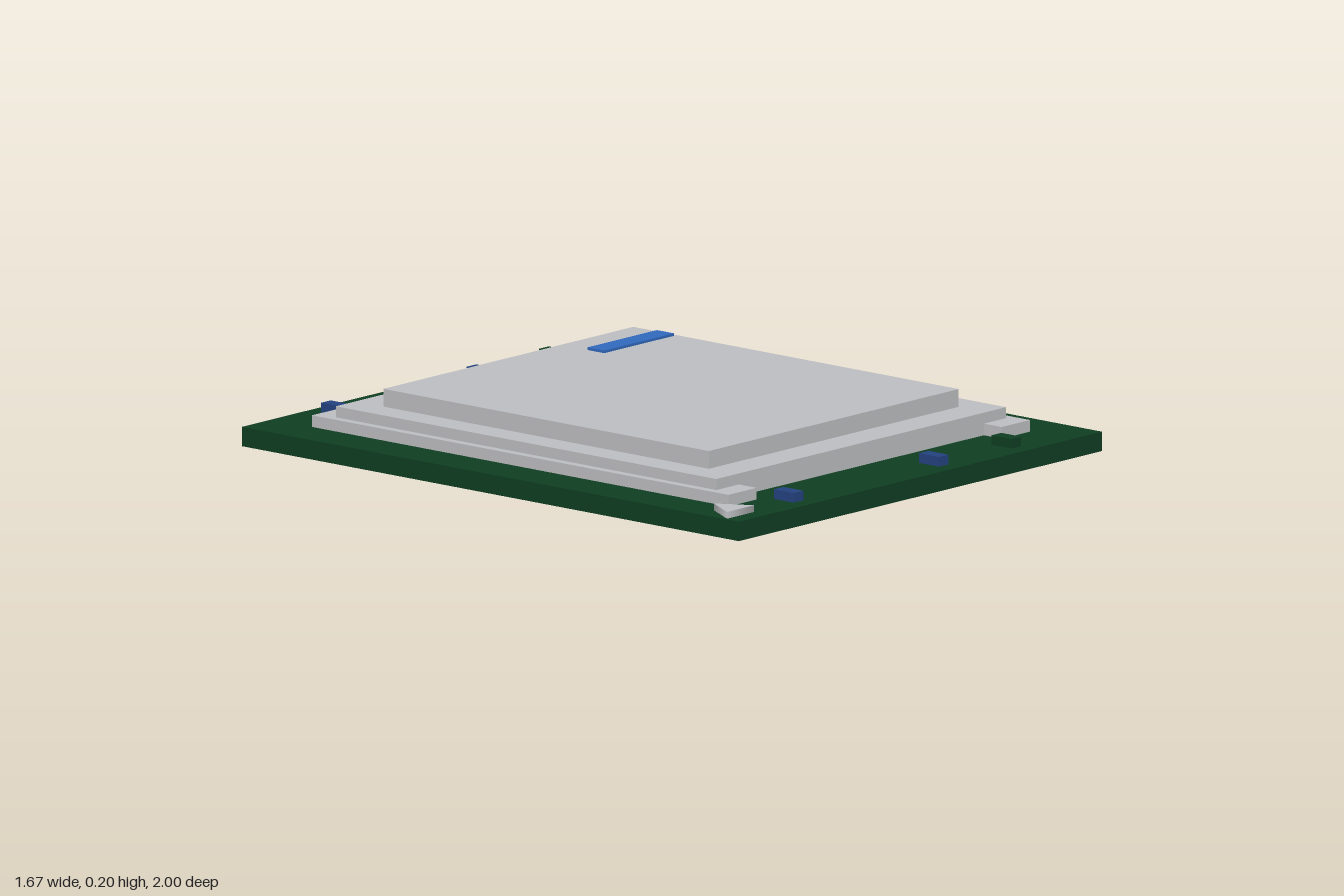
import * as THREE from 'three';

const material = (name, color) => {
  const m = new THREE.MeshStandardMaterial({ color });
  m.name = name;
  return m;
};

export function createModel() {
  const model = new THREE.Group();
  model.name = 'processorPackage';

  const boardGreen = material('boardGreen', 0x0f3d22);
  const metal = material('metalGrey', 0xbcbdc0);
  const labelBlue = material('labelBlue', 0x3169bd);
  const chipBlue = material('chipBlue', 0x24427f);

  // Box given by its limits on each axis
  const box = (name, mat, [x0, x1], [y0, y1], [z0, z1]) => {
    const mesh = new THREE.Mesh(new THREE.BoxGeometry(x1 - x0, y1 - y0, z1 - z0), mat);
    mesh.name = name;
    mesh.position.set((x0 + x1) / 2, (y0 + y1) / 2, (z0 + z1) / 2);
    model.add(mesh);
  };

  // Circuit board and the contact pad below it
  box('board', boardGreen, [-0.833, 0.833], [0.012, 0.072], [-1, 1]);
  box('contactPad', metal, [-0.773, 0.77], [0, 0.012], [-0.93, 0.93]);

  // Heat spreader: flange with four corner ears, then two raised steps
  const flange = new THREE.Shape();
  const corners = [[0.692, 0.838], [0.562, 0.838], [0.562, 0.766]];
  const outline = [
    ...corners,
    ...corners.map(([x, z]) => [-x, z]).reverse(),
    ...corners.map(([x, z]) => [-x, -z]),
    ...corners.map(([x, z]) => [x, -z]).reverse(),
  ];
  flange.setFromPoints(outline.map(([x, z]) => new THREE.Vector2(x, z)));
  const flangeGeometry = new THREE.ExtrudeGeometry(flange, { depth: 0.036, bevelEnabled: false });
  flangeGeometry.rotateX(-Math.PI / 2);
  const flangeMesh = new THREE.Mesh(flangeGeometry, metal);
  flangeMesh.name = 'spreaderFlange';
  flangeMesh.position.set(-0.002, 0.072, -0.002);
  model.add(flangeMesh);
  box('spreaderStep', metal, [-0.667, 0.662], [0.108, 0.142], [-0.768, 0.764]);
  box('spreaderTop', metal, [-0.575, 0.571], [0.142, 0.197], [-0.657, 0.653]);

  // Blue label plate
  box('label', labelBlue, [0.238, 0.558], [0.197, 0.205], [-0.55, -0.482]);

  // Small components along the front and back edges
  for (const z of [-0.912, 0.91]) {
    for (const [x, mat] of [[-0.502, chipBlue], [0.164, chipBlue], [0.497, boardGreen]]) {
      box('component', mat, [x - 0.022, x + 0.022], [0.072, 0.102], [z - 0.04, z + 0.04]);
    }
  }

  // Triangular orientation mark in the front corner
  const mark = new THREE.Mesh(new THREE.CylinderGeometry(0.072, 0.072, 0.021, 3), metal);
  mark.name = 'orientationMark';
  mark.rotation.y = Math.PI;
  mark.position.set(-0.762, 0.0825, 0.909);
  model.add(mark);

  return model;
}
